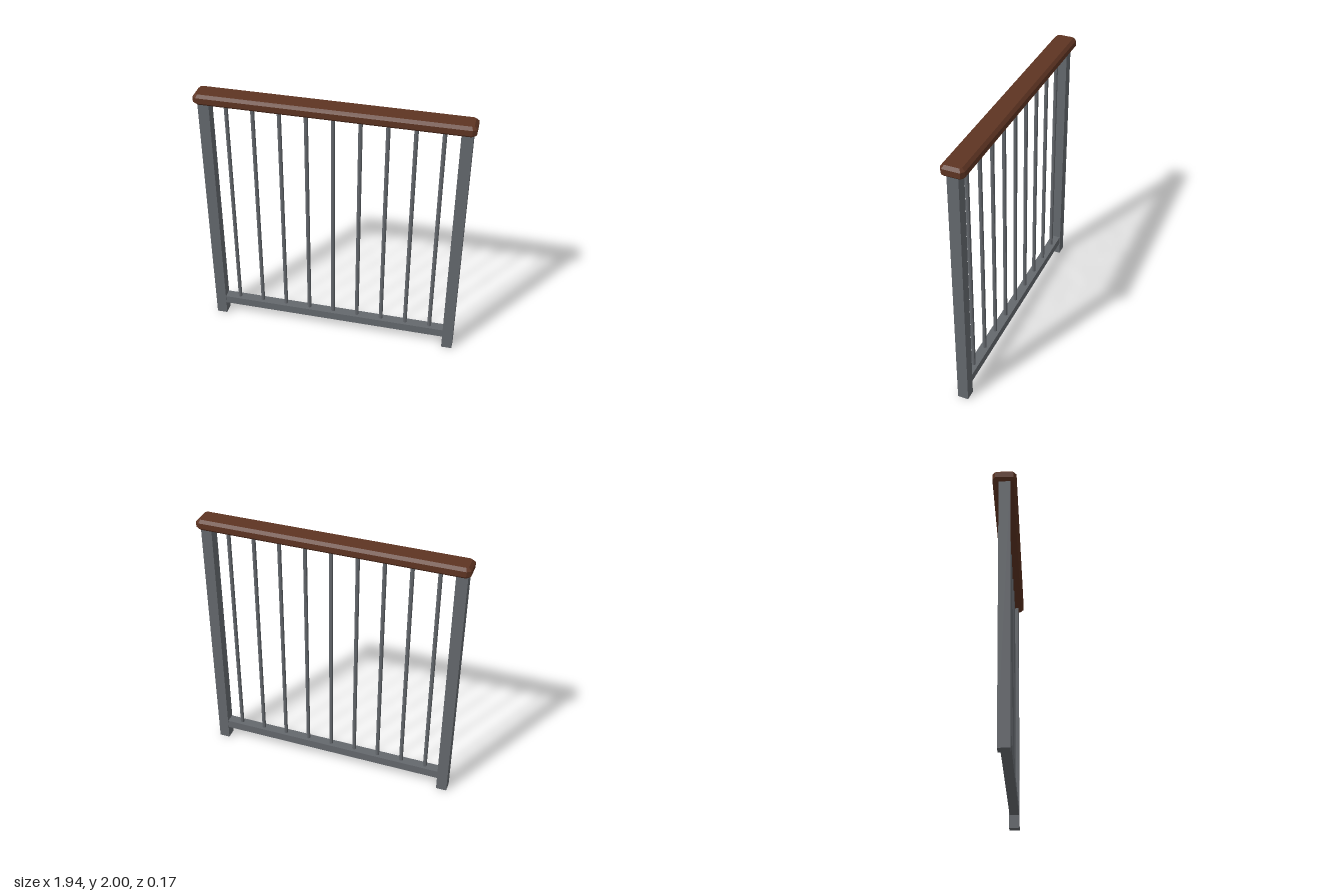
import * as THREE from 'three';

export function createModel() {
  const model = new THREE.Group();
  model.name = 'railing';
  const metal = new THREE.MeshStandardMaterial({ name: 'grey metal', color: 0x64686d, flatShading: true });
  const wood = new THREE.MeshStandardMaterial({ name: 'brown wood', color: 0x5e3422, flatShading: true });

  const add = (name, geometry, material, x, y, z = 0) => {
    const mesh = new THREE.Mesh(geometry, material);
    mesh.name = name;
    mesh.position.set(x, y, z);
    model.add(mesh);
    return mesh;
  };

  // Square end posts
  const postGeo = new THREE.BoxGeometry(0.08, 1.925, 0.08);
  add('leftPost', postGeo, metal, 0.91, 0.9625);
  add('rightPost', postGeo, metal, -0.91, 0.9625);

  // Bottom rail between the posts
  add('bottomRail', new THREE.BoxGeometry(1.74, 0.065, 0.072), metal, 0, 0.135);

  // Thin upright bars
  const barGeo = new THREE.CylinderGeometry(0.015, 0.015, 1.765, 8);
  for (let i = -4; i <= 4; i++) add(`bar${i + 5}`, barGeo, metal, i * 0.19, 1.0425);

  // Chamfered handrail: clipped rectangle, bevelled top and bottom
  const w = 0.95, d = 0.062, cx = 0.014, cz = 0.01;
  const outline = new THREE.Shape([
    [w, -d + cz], [w, d - cz], [w - cx, d], [-w + cx, d],
    [-w, d - cz], [-w, -d + cz], [-w + cx, -d], [w - cx, -d],
  ].map(([x, y]) => new THREE.Vector2(x, y)));
  const railGeo = new THREE.ExtrudeGeometry(outline, {
    depth: 0.04, bevelEnabled: true, bevelThickness: 0.02, bevelSize: 0.021, bevelSegments: 1,
  });
  railGeo.rotateX(-Math.PI / 2);
  add('handrail', railGeo, wood, 0, 1.94);

  return model;
}
